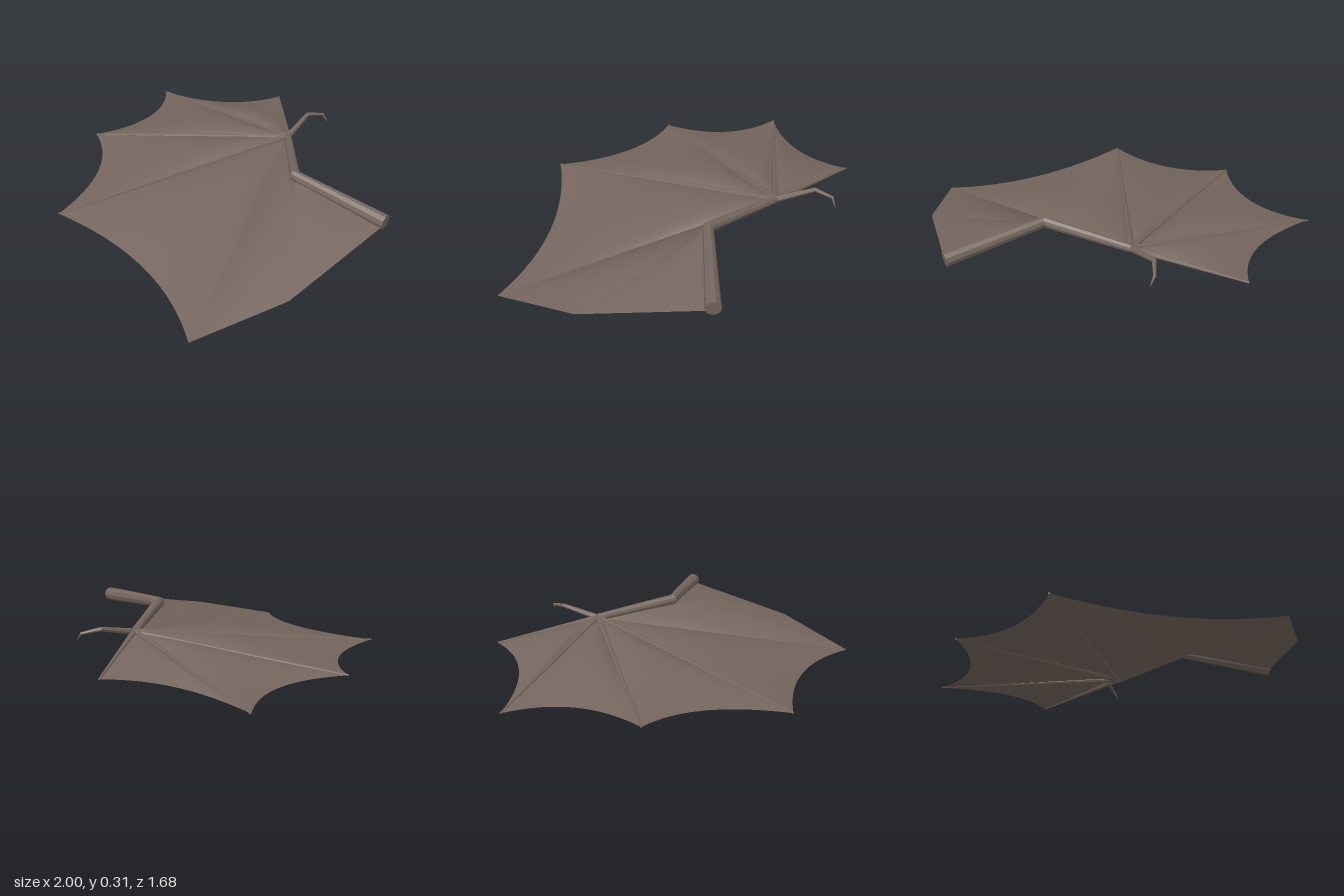
import * as THREE from 'three';

const V = (x, y, z) => new THREE.Vector3(x, y, z);

// Joints and membrane corners
const shoulder = V(0.952, 0.235, -0.36), elbow = V(0.435, 0.285, -0.22), wrist = V(0.05, 0.243, -0.5);
const tips = [V(-0.44, 0.19, -0.84), V(-0.995, 0.143, -0.335), V(-0.768, 0.143, 0.31), V(-0.215, 0.1, 0.835)];
const rear = V(0.87, 0.003, 0.747), hip = V(1, 0.1, 0.285);

// Tapered faceted limb: mitred rings swept along a list of joints
function limb(points, radii, sides) {
  const pos = [], idx = [], n = points.length;
  points.forEach((p, i) => {
    const t = points[Math.min(i + 1, n - 1)].clone().sub(points[i]).normalize();
    t.add(p.clone().sub(points[Math.max(i - 1, 0)]).normalize()).normalize();
    const side = V(0, 1, 0).cross(t).normalize(), up = t.clone().cross(side);
    for (let k = 0; k < sides; k++) {
      const a = (k / sides) * Math.PI * 2;
      const v = p.clone().addScaledVector(side, Math.cos(a) * radii[i]).addScaledVector(up, Math.sin(a) * radii[i]);
      pos.push(v.x, v.y, v.z);
    }
  });
  for (let i = 0; i < n - 1; i++) for (let k = 0; k < sides; k++) {
    const a = i * sides + k, b = i * sides + (k + 1) % sides;
    idx.push(a, b, a + sides, b, b + sides, a + sides);
  }
  // End caps
  const last = (n - 1) * sides;
  for (let k = 1; k < sides - 1; k++) idx.push(0, k + 1, k, last, last + k, last + k + 1);
  const g = new THREE.BufferGeometry();
  g.setAttribute('position', new THREE.Float32BufferAttribute(pos, 3));
  g.setIndex(idx);
  const flat = g.toNonIndexed();
  flat.computeVertexNormals();
  return flat;
}

// Skin panel stretched from an inner curve to an outer curve, domed upward
function panel(inner, outer, dome, ns = 20, nt = 20) {
  const pos = [], idx = [];
  for (let j = 0; j <= nt; j++) for (let i = 0; i <= ns; i++) {
    const s = i / ns, t = j / nt;
    const p = inner(s).clone().lerp(outer(s), t);
    p.y += dome * 4 * s * (1 - s) * Math.sin(Math.PI * t);
    pos.push(p.x, p.y, p.z);
  }
  for (let j = 0; j < nt; j++) for (let i = 0; i < ns; i++) {
    const a = j * (ns + 1) + i, b = a + ns + 1;
    idx.push(a, b, b + 1, a, b + 1, a + 1);
  }
  const g = new THREE.BufferGeometry();
  g.setAttribute('position', new THREE.Float32BufferAttribute(pos, 3));
  g.setIndex(idx);
  g.computeVertexNormals();
  return g;
}

const line = (a, b) => s => a.clone().lerp(b, s);
const scallop = (a, b, x, z) => {
  const c = new THREE.QuadraticBezierCurve3(a, V(x, (a.y + b.y) / 2, z), b);
  return s => c.getPoint(s);
};

export function createModel() {
  const wing = new THREE.Group();
  wing.name = 'wing';
  const bone = new THREE.MeshStandardMaterial({ color: 0x75665e });
  bone.name = 'bone brown';
  const skin = new THREE.MeshStandardMaterial({ color: 0x75665e, side: THREE.DoubleSide });
  skin.name = 'skin brown';
  const add = (name, geometry, material) => {
    const m = new THREE.Mesh(geometry, material);
    m.name = name;
    wing.add(m);
  };

  // Arm, thumb claw and finger bones
  add('arm', limb([shoulder, elbow, wrist], [0.04, 0.031, 0.022], 10), bone);
  add('thumbClaw', limb([wrist, V(-0.008, 0.298, -0.7), V(0.018, 0.28, -0.795), V(0.045, 0.238, -0.815)],
    [0.018, 0.012, 0.008, 0.001], 8), bone);
  tips.forEach((tip, i) => add('finger' + (i + 1), limb([wrist, tip], [0.018, 0.005], 8), bone));

  // Membrane between the fingers, with scalloped outer edges
  const root = V(wrist.x, wrist.y - 0.006, wrist.z);
  const fan = () => root;
  const [a, b, c, d] = tips;
  const edges = [
    scallop(a, b, -0.52, -0.49), scallop(b, c, -0.66, -0.12),
    scallop(c, d, -0.39, 0.375), scallop(d, rear, 0.37, 0.555),
  ];
  edges.forEach((edge, i) => add('fingerMembrane' + (i + 1), panel(fan, edge, 0.038), skin));

  // Membrane behind the arm
  const low = V(elbow.x, elbow.y - 0.012, elbow.z);
  const armpit = V(shoulder.x, shoulder.y - 0.012, shoulder.z);
  add('forearmMembrane', panel(line(root, low), line(rear, hip), 0.025), skin);
  add('upperArmMembrane', panel(() => low, line(hip, armpit), 0.015), skin);
  return wing;
}
